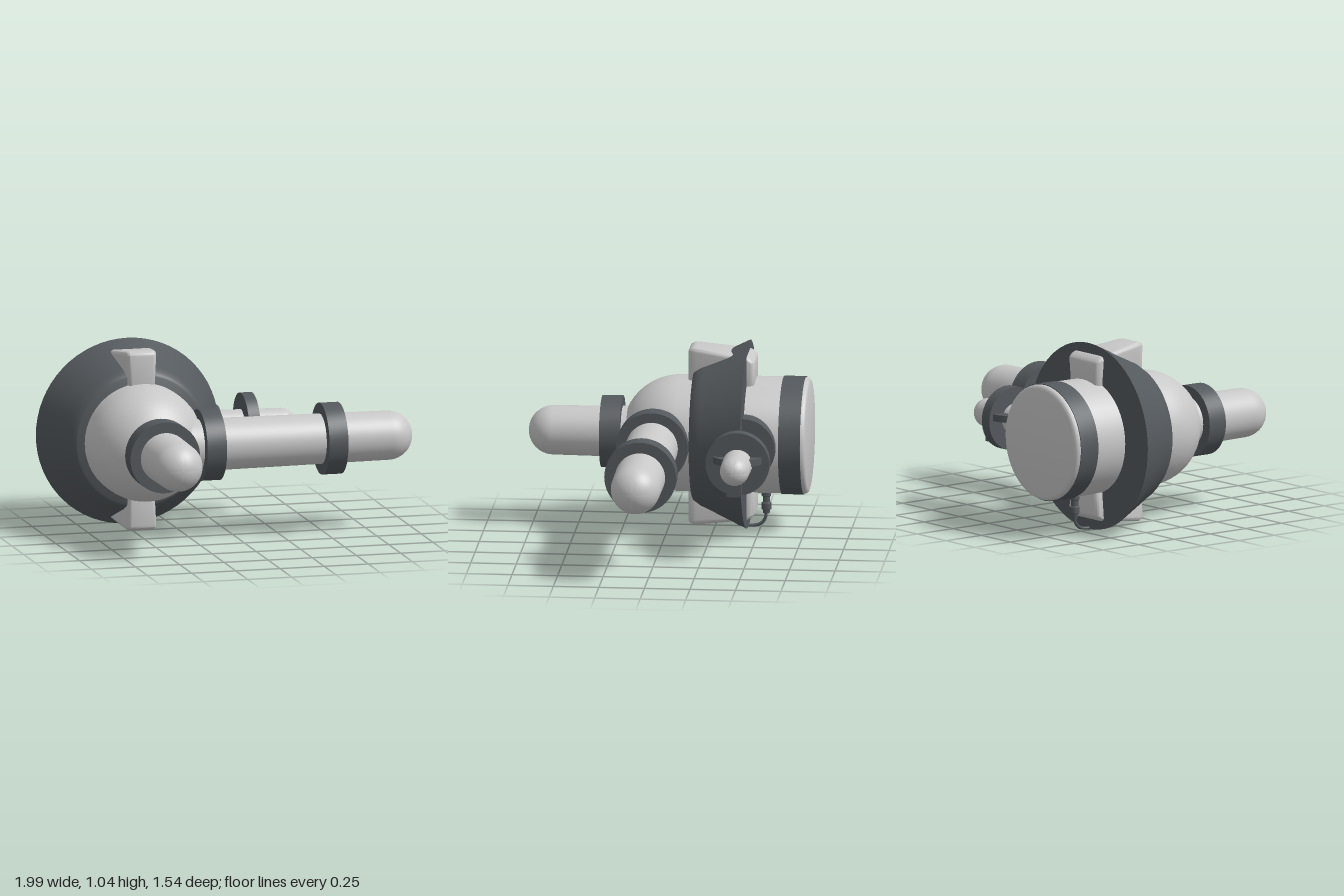
import * as THREE from 'three';
import { toCreasedNormals } from 'three/addons/utils/BufferGeometryUtils.js';
import { RoundedBoxGeometry } from 'three/addons/geometries/RoundedBoxGeometry.js';

const CX = -0.48, CY = 0.523; // main axis, running along z

export function createModel() {
  const model = new THREE.Group();
  const light = new THREE.MeshStandardMaterial({ color: 0xc8c8c8 });
  light.name = 'light grey';
  const dark = new THREE.MeshStandardMaterial({ color: 0x54595d });
  dark.name = 'dark grey';

  const add = (name, geometry, material, x = 0, y = 0, z = 0) => {
    const mesh = new THREE.Mesh(geometry, material);
    mesh.name = name;
    mesh.position.set(x, y, z);
    model.add(mesh);
    return mesh;
  };

  // Turned part from [radius, distance] pairs, laid along the x or z axis
  const turned = (points, axis, segments = 48) => {
    const g = new THREE.LatheGeometry(points.map(([r, d]) => new THREE.Vector2(r, d)), segments);
    if (axis === 'z') g.rotateX(Math.PI / 2);
    if (axis === 'x') g.rotateZ(-Math.PI / 2);
    return toCreasedNormals(g, 0.6);
  };
  const disc = (r, from, to, axis) => turned([[0, from], [r, from], [r, to], [0, to]], axis);

  // Quarter circle ending on the axis
  const dome = (r, centre, steps) => Array.from({ length: steps + 1 }, (_, i) => {
    const a = (i / steps) * Math.PI / 2;
    return [i === steps ? 0 : r * Math.cos(a), centre + r * Math.sin(a)];
  });
  const pipe = (from, tip, r0, r1, axis) =>
    turned([[0, from], [r0, from], ...dome(r1, tip - r1, 12)], axis);

  // Main body: rounded back edge and domed front
  add('body', turned([
    [0, -0.772], [0.295, -0.772], [0.309, -0.768], [0.317, -0.76], [0.32, -0.745],
    ...dome(0.32, -0.06, 12),
  ], 'z'), light, CX, CY);
  add('rearBand', disc(0.324, -0.745, -0.625, 'z'), dark, CX, CY);

  // Flared collar
  add('collar', turned([
    [0, -0.434], [0.517, -0.434], [0.405, -0.2], [0.398, -0.183], [0.385, -0.165],
    [0.37, -0.143], [0.36, -0.138], [0, -0.138],
  ], 'z', 64), dark, CX, CY);

  // Front pipe
  add('frontPipe', pipe(0.1, 0.772, 0.142, 0.135, 'z'), light, CX, CY);
  add('frontPipeRing', disc(0.197, 0.257, 0.37, 'z'), dark, CX, CY);

  // Long side pipe
  const longZ = 0.062;
  add('longPipe', pipe(-0.45, 0.995, 0.146, 0.135, 'x'), light, 0, CY, longZ);
  for (const [from, to] of [[-0.21, -0.1], [0.48, 0.587]])
    add('longPipeRing', disc(0.197, from, to, 'x'), dark, 0, CY, longZ);

  // Short side pipe behind the collar
  const shortZ = -0.438;
  add('shortPipe', pipe(-0.3, 0.47, 0.092, 0.08, 'x'), light, 0, CY, shortZ);
  for (const [r, from, to] of [[0.175, -0.21, -0.1], [0.115, -0.02, 0.032], [0.175, 0.165, 0.23]])
    add('shortPipeRing', disc(r, from, to, 'x'), dark, 0, CY, shortZ);
  add('horizontalDisc', new THREE.CylinderGeometry(0.148, 0.148, 0.038, 40), dark, 0.165, 0.545, shortZ);
  add('underBlock', new THREE.BoxGeometry(0.042, 0.15, 0.08), dark, 0.35, 0.447, shortZ + 0.005);

  // Tapered lugs above and below the collar
  for (const side of [1, -1]) {
    const g = new RoundedBoxGeometry(1, 1, 1, 4, 0.12);
    const p = g.attributes.position;
    for (let i = 0; i < p.count; i++) {
      const u = p.getX(i), v = p.getY(i) + 0.5, back = 0.5 - p.getZ(i);
      const width = (0.15 + 0.105 * back) * (0.95 + 0.16 * v);
      const top = 0.5 - 0.015 * back - 0.045 * back ** 4;
      p.setXYZ(i, u * width, 0.26 + (top - 0.26) * v, -0.11 - 0.367 * back);
    }
    g.computeVertexNormals();
    const lug = add(side > 0 ? 'upperLug' : 'lowerLug', toCreasedNormals(g, 0.9), light, CX, CY);
    if (side < 0) lug.rotation.z = Math.PI;
  }

  // Cable plugged in under the body
  const path = new THREE.CatmullRomCurve3([
    [-0.532, 0.1], [-0.525, 0.05], [-0.495, 0.02], [-0.44, 0.011], [-0.39, 0.015], [-0.35, 0.04],
  ].map(([z, y]) => new THREE.Vector3(CX, y, z)));
  add('cable', new THREE.TubeGeometry(path, 32, 0.009, 10), dark);
  add('plug', turned([
    [0, 0.082], [0.018, 0.082], [0.02, 0.1], [0.027, 0.105], [0.027, 0.14],
    [0.02, 0.145], [0.02, 0.175], [0.026, 0.18], [0.026, 0.215], [0, 0.215],
  ], 'y', 20), dark, CX, 0, -0.532);

  return model;
}
